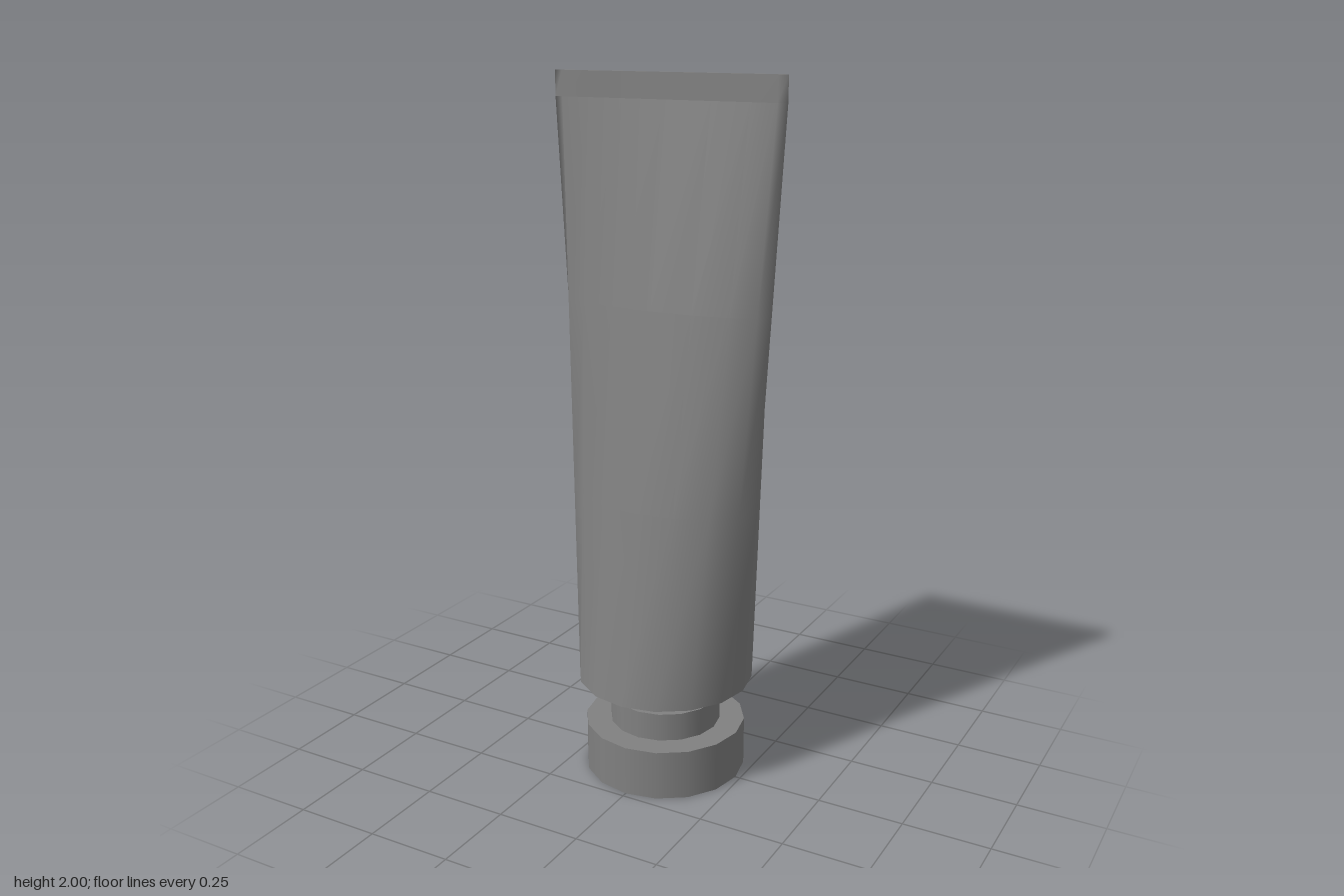
import * as THREE from 'three';
import { mergeVertices } from 'three/addons/utils/BufferGeometryUtils.js';

const SIDES = 16;
const SHOULDER_Y = 0.285, CRIMP_Y = 1.93, TOP_Y = 2;
const RADIUS = 0.255, CRIMP_HALF_WIDTH = 0.348, CRIMP_HALF_DEPTH = 0.007, CRIMP_Z = -0.008;

// Maps a point of the unit circle to the flat crimped section
function crimpPoint(x, z) {
  const depth = Math.abs(z) > 1e-3 ? Math.sign(z) * CRIMP_HALF_DEPTH : 0;
  return [x * CRIMP_HALF_WIDTH, CRIMP_Z + depth];
}

// Tube wall: a round section blending into the flat crimp
function bodyGeometry() {
  let geo = new THREE.CylinderGeometry(1, 1, 1, SIDES, 3, true);
  const p = geo.attributes.position;
  for (let i = 0; i < p.count; i++) {
    const x = p.getX(i), z = p.getZ(i), t = p.getY(i) + 0.5;
    const [cx, cz] = crimpPoint(x, z);
    p.setXYZ(i,
      THREE.MathUtils.lerp(x * RADIUS, cx, t),
      THREE.MathUtils.lerp(SHOULDER_Y, CRIMP_Y, t),
      THREE.MathUtils.lerp(z * RADIUS, cz, t));
  }
  geo.deleteAttribute('normal');
  geo.deleteAttribute('uv');
  geo = mergeVertices(geo, 1e-5);
  geo.computeVertexNormals();
  return geo;
}

// Flat sealed strip at the top
function crimpGeometry() {
  const geo = new THREE.CylinderGeometry(1, 1, 1, SIDES);
  const p = geo.attributes.position;
  for (let i = 0; i < p.count; i++) {
    const [x, z] = crimpPoint(p.getX(i), p.getZ(i));
    p.setXYZ(i, x, p.getY(i) > 0 ? TOP_Y : CRIMP_Y, z);
  }
  geo.computeVertexNormals();
  return geo;
}

export function createModel() {
  const group = new THREE.Group();
  const darkGrey = new THREE.MeshStandardMaterial({ color: 0x808080, side: THREE.DoubleSide });

  const add = (name, geometry) => {
    const mesh = new THREE.Mesh(geometry, darkGrey);
    mesh.name = name;
    group.add(mesh);
    return mesh;
  };
  const addRound = (name, rTop, rBottom, y0, y1, open = false) => {
    const geo = new THREE.CylinderGeometry(rTop, rBottom, y1 - y0, SIDES, 1, open);
    add(name, geo).position.y = (y0 + y1) / 2;
  };

  add('tubeBody', bodyGeometry());
  add('crimpedEnd', crimpGeometry());

  // Shoulder, neck and the cap it stands on
  addRound('shoulder', RADIUS, 0.12, 0.225, SHOULDER_Y, true);
  addRound('neck', 0.162, 0.162, 0.145, 0.227);
  addRound('cap', 0.235, 0.235, 0, 0.145);

  return group;
}
